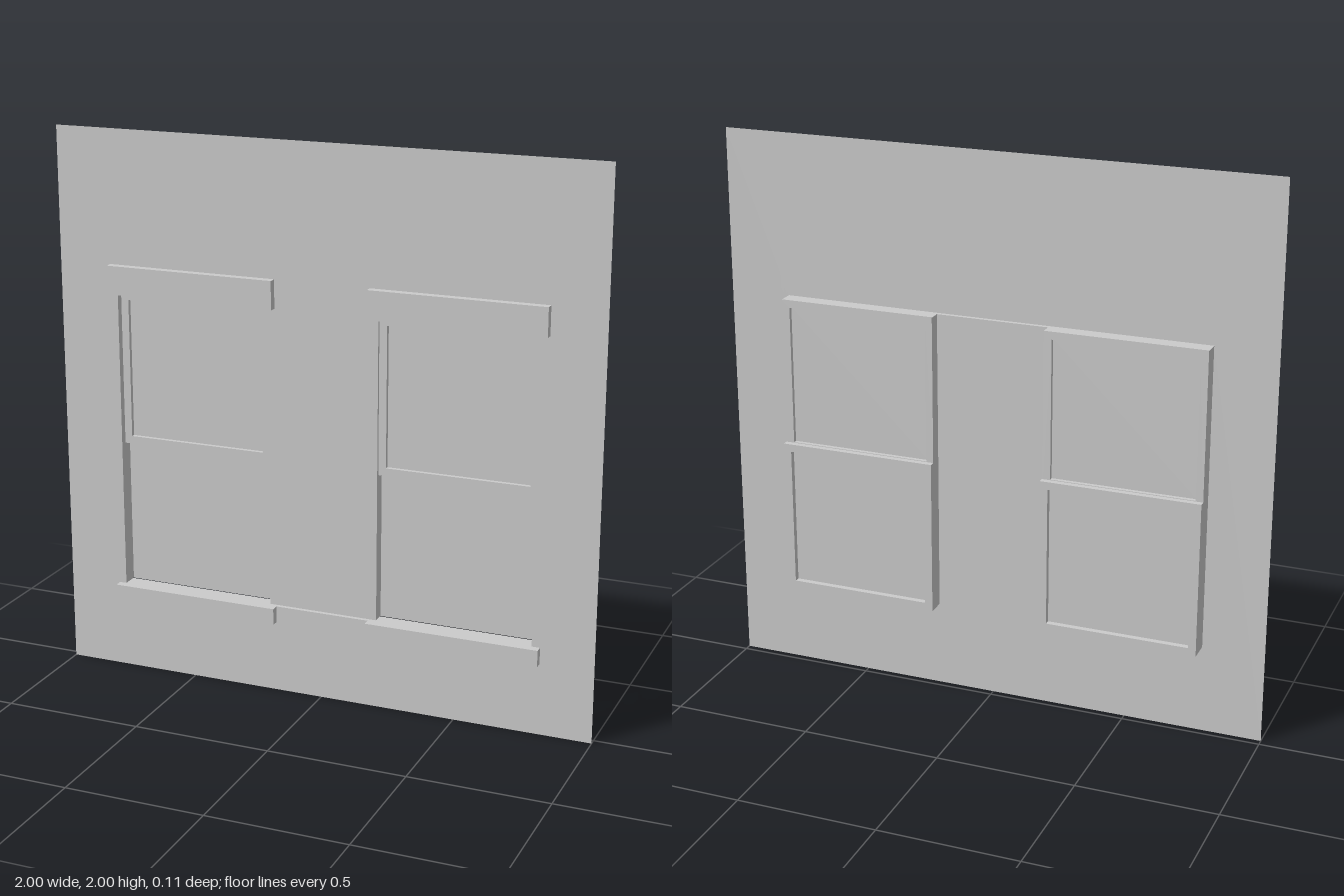
import * as THREE from 'three';

const material = new THREE.MeshStandardMaterial({ color: 0xcccccc, side: THREE.DoubleSide });

// Opening limits and depths shared by all parts
const INNER = 0.203, OUTER = 0.777, BOTTOM = 0.322, TOP = 1.417;
const FACE = 0.025, PIER = 0.01, JAMB_BACK = -0.03, BACK = -0.056;
const RAIL = 0.028;

function add(parent, name, geometry) {
  const mesh = new THREE.Mesh(geometry, material);
  mesh.name = name;
  parent.add(mesh);
  return mesh;
}

// Box given by its limits
function box(parent, name, x0, x1, y0, y1, z0, z1) {
  const g = new THREE.BoxGeometry(x1 - x0, y1 - y0, z1 - z0);
  g.translate((x0 + x1) / 2, (y0 + y1) / 2, (z0 + z1) / 2);
  return add(parent, name, g);
}

// Thin sheet facing the front
function sheet(parent, name, x0, x1, y0, y1, z) {
  const g = new THREE.PlaneGeometry(x1 - x0, y1 - y0);
  g.translate((x0 + x1) / 2, (y0 + y1) / 2, z);
  return add(parent, name, g);
}

// Upright reveal across the wall's thickness
function sideReveal(parent, name, x, z0, z1) {
  const g = new THREE.PlaneGeometry(z1 - z0, TOP - BOTTOM);
  g.rotateY(Math.PI / 2);
  g.translate(x, (BOTTOM + TOP) / 2, (z0 + z1) / 2);
  return add(parent, name, g);
}

// Level reveal above or below an opening
function levelReveal(parent, name, x0, x1, y, z0, z1) {
  const g = new THREE.PlaneGeometry(x1 - x0, z1 - z0);
  g.rotateX(-Math.PI / 2);
  g.translate((x0 + x1) / 2, y, (z0 + z1) / 2);
  return add(parent, name, g);
}

function rectangle(Type, x0, x1, y0, y1) {
  return new Type([[x0, y0], [x1, y0], [x1, y1], [x0, y1]].map(p => new THREE.Vector2(...p)));
}

// Sash: a rectangular ring with a pane in it
function sash(parent, name, y0, y1, z0, z1) {
  const ring = rectangle(THREE.Shape, INNER, OUTER, y0, y1);
  ring.holes.push(rectangle(THREE.Path, INNER + RAIL, OUTER - RAIL, y0 + RAIL, y1 - RAIL));
  const g = new THREE.ExtrudeGeometry(ring, { depth: z1 - z0, bevelEnabled: false });
  g.translate(0, 0, z0);
  add(parent, name, g);
}

function createWindow(name) {
  const group = new THREE.Group();
  group.name = name;

  // Reveals around the opening
  sideReveal(group, 'innerJamb', INNER, JAMB_BACK, FACE);
  sideReveal(group, 'outerJamb', OUTER, JAMB_BACK, FACE);
  levelReveal(group, 'revealTop', INNER, OUTER, TOP, JAMB_BACK, FACE);
  levelReveal(group, 'revealBottom', INNER, OUTER, BOTTOM, JAMB_BACK, FACE);

  // Upper sash in front, lower sash behind it
  sash(group, 'upperSash', 0.857, TOP, JAMB_BACK, 0);
  sheet(group, 'upperPane', INNER + RAIL, OUTER - RAIL, 0.885, TOP - RAIL, -0.015);
  sash(group, 'lowerSash', BOTTOM, 0.885, BACK, JAMB_BACK - 0.005);
  sheet(group, 'lowerPane', INNER, OUTER, BOTTOM, 0.885, JAMB_BACK - 0.004);
  sideReveal(group, 'innerStop', INNER, JAMB_BACK - 0.005, JAMB_BACK).scale.y = 1;

  // Trim on the wall face
  box(group, 'header', 0.177, 0.807, TOP, 1.52, FACE, 0.054);
  box(group, 'sill', 0.177, 0.807, 0.262, BOTTOM, FACE, 0.054);
  return group;
}

export function createModel() {
  const model = new THREE.Group();
  model.name = 'wallWithWindows';

  // Wall sheet with one wide opening
  const wall = rectangle(THREE.Shape, -1, 1, 0, 2);
  wall.holes.push(rectangle(THREE.Path, -OUTER, OUTER, BOTTOM, TOP));
  add(model, 'wall', new THREE.ShapeGeometry(wall).translate(0, 0, FACE));

  // Slightly recessed pier between the windows
  sheet(model, 'pier', -INNER, INNER, BOTTOM, TOP, PIER);
  levelReveal(model, 'pierTop', -INNER, INNER, TOP, PIER, FACE);
  levelReveal(model, 'pierBottom', -INNER, INNER, BOTTOM, PIER, FACE);

  // The windows are symmetric, so the right one is the left one moved across
  const left = createWindow('leftWindow');
  const right = createWindow('rightWindow');
  right.position.x = -(INNER + OUTER);
  model.add(left, right);

  // The jambs next to the pier only start behind its face
  for (const [group, jamb, x] of [[left, 'innerJamb', INNER], [right, 'outerJamb', OUTER]]) {
    group.remove(group.getObjectByName(jamb));
    sideReveal(group, 'pierJamb', x, JAMB_BACK, PIER);
  }
  return model;
}
